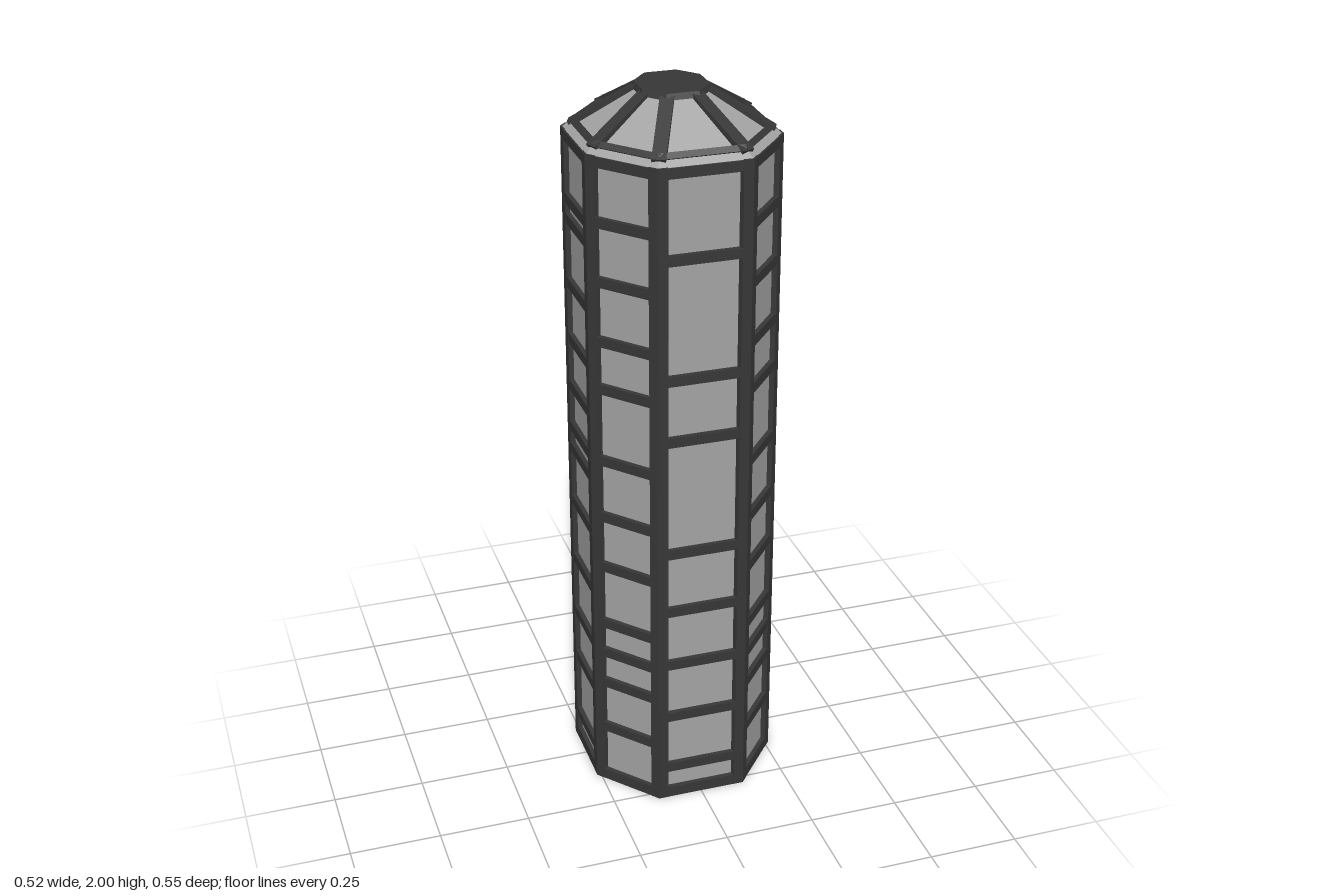
import * as THREE from 'three';

// Octagon corners as [x, z], running from +x round towards +z
const CORNERS = [
  [0.262, -0.115], [0.262, 0.115], [0.125, 0.277], [-0.125, 0.277],
  [-0.262, 0.115], [-0.262, -0.115], [-0.125, -0.277], [0.125, -0.277],
];
const UP = new THREE.Vector3(0, 1, 0);
const corner = (i, scale, y) => {
  const [x, z] = CORNERS[(i + 8) % 8];
  return new THREE.Vector3(x * scale, y, z * scale);
};

// Heights of the cross bars on each kind of side
const FRONT = [0.1, 0.27, 0.44, 0.61, 0.79, 1.125, 1.3, 1.63];
const SIDE = [0.09, 0.29, 0.44, 0.615, 0.8, 0.965, 1.03, 1.155, 1.295, 1.455, 1.635, 1.69];
const DIAGONAL = [0.18, 0.33, 0.43, 0.525, 0.705, 0.86, 1.03, 1.24, 1.375, 1.54, 1.7];

// Faceted octagonal shell through rings of [scale, y]
function loft(rings) {
  const points = [];
  for (let r = 0; r < rings.length - 1; r++) {
    for (let i = 0; i < 8; i++) {
      const a = corner(i, ...rings[r]), b = corner(i + 1, ...rings[r]);
      const c = corner(i, ...rings[r + 1]), d = corner(i + 1, ...rings[r + 1]);
      points.push(a, c, b, b, c, d);
    }
  }
  const geometry = new THREE.BufferGeometry().setFromPoints(points);
  geometry.computeVertexNormals();
  return geometry;
}

// Box from a to b whose outer face lies on that line
function bar(a, b, width, depth, normal) {
  const along = b.clone().sub(a);
  const length = along.length();
  along.normalize();
  const out = normal.clone().addScaledVector(along, -normal.dot(along)).normalize();
  const across = out.clone().cross(along);
  const middle = a.clone().add(b).multiplyScalar(0.5).addScaledVector(out, -depth / 2);
  const matrix = new THREE.Matrix4().makeBasis(along, across, out).setPosition(middle);
  return new THREE.BoxGeometry(length, width, depth).applyMatrix4(matrix);
}

// Angled post that wraps one corner of the octagon
function postGeometry(i) {
  const p = corner(i, 1, 0);
  const toward = (j) => corner(j, 1, 0).sub(p).normalize().multiplyScalar(0.027).add(p);
  const a = toward(i - 1), b = toward(i + 1);
  const ring = [a, p, b, b.clone().multiplyScalar(0.945), a.clone().multiplyScalar(0.945)];
  const shape = new THREE.Shape(ring.map((v) => new THREE.Vector2(v.x, -v.z)));
  return new THREE.ExtrudeGeometry(shape, { depth: 1.875, bevelEnabled: false }).rotateX(-Math.PI / 2);
}

export function createModel() {
  const model = new THREE.Group();
  model.name = 'octagonalTower';
  const panel = new THREE.MeshStandardMaterial({ color: 0xa4a4a4 });
  panel.name = 'grey panel';
  const frame = new THREE.MeshStandardMaterial({ color: 0x373737 });
  frame.name = 'charcoal frame';
  const add = (name, geometry, material) => {
    const mesh = new THREE.Mesh(geometry, material);
    mesh.name = name;
    model.add(mesh);
    return mesh;
  };

  // Recessed wall panels, eave strip and roof panels
  add('wallPanels', loft([[0.95, 0.012], [0.95, 1.862], [0.985, 1.874]]), panel);
  add('eaveStrip', loft([[0.985, 1.874], [0.92, 1.888], [0.9, 1.883]]), panel);
  add('roofPanels', loft([[0.9, 1.883], [0.33, 1.987]]), panel);

  for (let i = 0; i < 8; i++) {
    // Corner post and roof rib
    add('cornerPost', postGeometry(i), frame);
    add('roofRib', bar(corner(i, 0.93, 1.892), corner(i, 0.3, 1.998), 0.036, 0.016, UP), frame);

    // Cross bars of one side
    const a = corner(i, 1, 0), b = corner(i + 1, 1, 0);
    const out = new THREE.Vector3(b.z - a.z, 0, a.x - b.x).normalize();
    const heights = i % 2 ? DIAGONAL : i === 2 ? FRONT : SIDE;
    for (const y of [0.016, ...heights, 1.859]) {
      const height = y === 0.016 ? 0.032 : 0.028;
      add('crossBar', bar(corner(i, 0.998, y), corner(i + 1, 0.998, y), height, 0.014, out), frame);
    }

    // Ring at the foot of the roof
    const tilt = out.clone().add(UP).normalize();
    add('roofRing', bar(corner(i, 0.905, 1.897), corner(i + 1, 0.905, 1.897), 0.018, 0.016, tilt), frame);
  }

  // Flat octagonal cap
  add('roofCap', loft([[0.36, 1.984], [0.34, 2], [0.0, 2]]), frame);

  // Underside with a slot along the left edge and a square pad
  const base = new THREE.Shape(CORNERS.map(([x, z]) => new THREE.Vector2(x * 0.97, z * 0.97)));
  const slot = [[0.16, -0.14], [0.16, 0.14], [0.235, 0.105], [0.235, -0.105]];
  base.holes.push(new THREE.Path(slot.map(([x, z]) => new THREE.Vector2(x, z))));
  add('underside', new THREE.ShapeGeometry(base).rotateX(Math.PI / 2).translate(0, 0.012, 0), frame);
  add('basePad', new THREE.BoxGeometry(0.2, 0.012, 0.2).translate(0, 0.006, 0), frame);

  return model;
}
